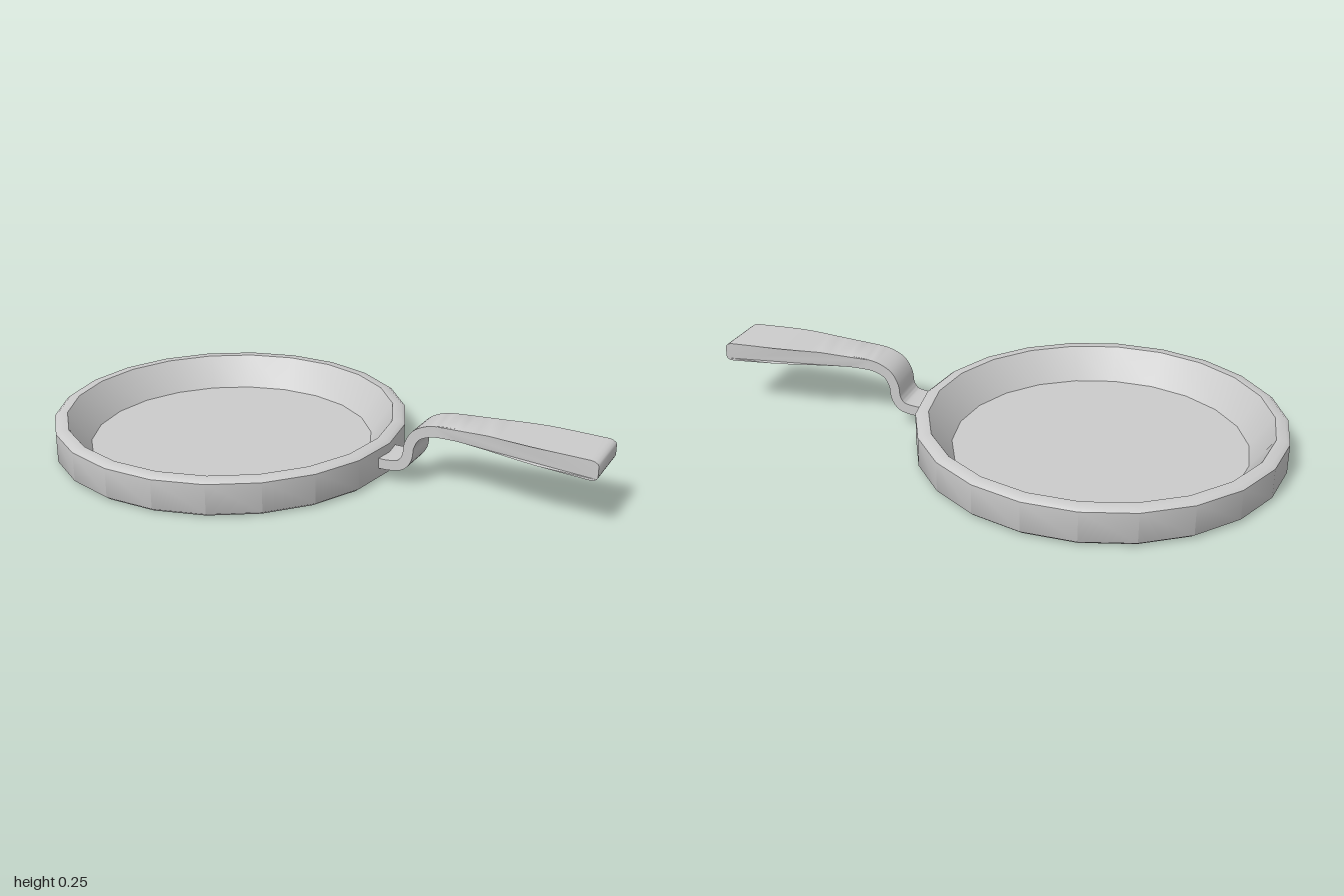
import * as THREE from 'three';
import { toCreasedNormals } from 'three/addons/utils/BufferGeometryUtils.js';

const material = new THREE.MeshStandardMaterial({ color: 0xcccccc });

function addMesh(group, name, geometry, crease) {
  const mesh = new THREE.Mesh(toCreasedNormals(geometry, crease), material);
  mesh.name = name;
  group.add(mesh);
  return mesh;
}

// Shallow dish: underside, bevelled wall, rim, sloping inside and floor
function dishGeometry() {
  const profile = [
    [0, 0], [0.615, 0], [0.63, 0.012], [0.63, 0.115], [0.617, 0.125],
    [0.585, 0.125], [0.507, 0.016], [0, 0.016],
  ].map(([r, y]) => new THREE.Vector2(r, y));
  return new THREE.LatheGeometry(profile, 22, Math.PI / 2);
}

// Half width of the handle along its length
function halfWidth(x) {
  return 0.066 + 0.032 * THREE.MathUtils.smoothstep(x, 0.5, 0.82);
}

// S-bent bar: a centre line with a varying half thickness, extruded sideways
function handleGeometry() {
  const spine = new THREE.CatmullRomCurve3([
    [0.23, 0.065, 0.018], [0.29, 0.066, 0.018], [0.333, 0.077, 0.018],
    [0.354, 0.108, 0.018], [0.36, 0.15, 0.018], [0.382, 0.19, 0.018],
    [0.43, 0.214, 0.019], [0.5, 0.221, 0.021], [0.6, 0.221, 0.024],
    [0.75, 0.218, 0.028], [0.87, 0.213, 0.031], [0.975, 0.208, 0.033],
  ].map((p) => new THREE.Vector3(...p)));

  const lower = [], upper = [];
  const steps = 44;
  for (let i = 0; i <= steps; i++) {
    const p = spine.getPoint(i / steps);
    const t = spine.getTangent(i / steps);
    const n = new THREE.Vector2(-t.y, t.x).normalize().multiplyScalar(p.z);
    lower.push(new THREE.Vector2(p.x - n.x, p.y - n.y));
    upper.push(new THREE.Vector2(p.x + n.x, p.y + n.y));
  }
  // Rounded corners at the tip
  for (const [x, h] of [[0.988, 0.031], [0.997, 0.025], [1, 0.018]]) {
    lower.push(new THREE.Vector2(x, 0.207 - h));
    upper.push(new THREE.Vector2(x, 0.207 + h));
  }

  const shape = new THREE.Shape([...lower, ...upper.reverse()]);
  const geometry = new THREE.ExtrudeGeometry(shape, { depth: 2, bevelEnabled: false });
  geometry.translate(0, 0, -1);
  const pos = geometry.attributes.position;
  for (let i = 0; i < pos.count; i++) {
    pos.setZ(i, pos.getZ(i) * halfWidth(pos.getX(i)));
  }
  return geometry;
}

export function createModel() {
  const pan = new THREE.Group();
  pan.name = 'fryingPan';
  addMesh(pan, 'dish', dishGeometry(), 0.9).position.x = -0.37;
  addMesh(pan, 'handle', handleGeometry(), 0.7);
  return pan;
}
